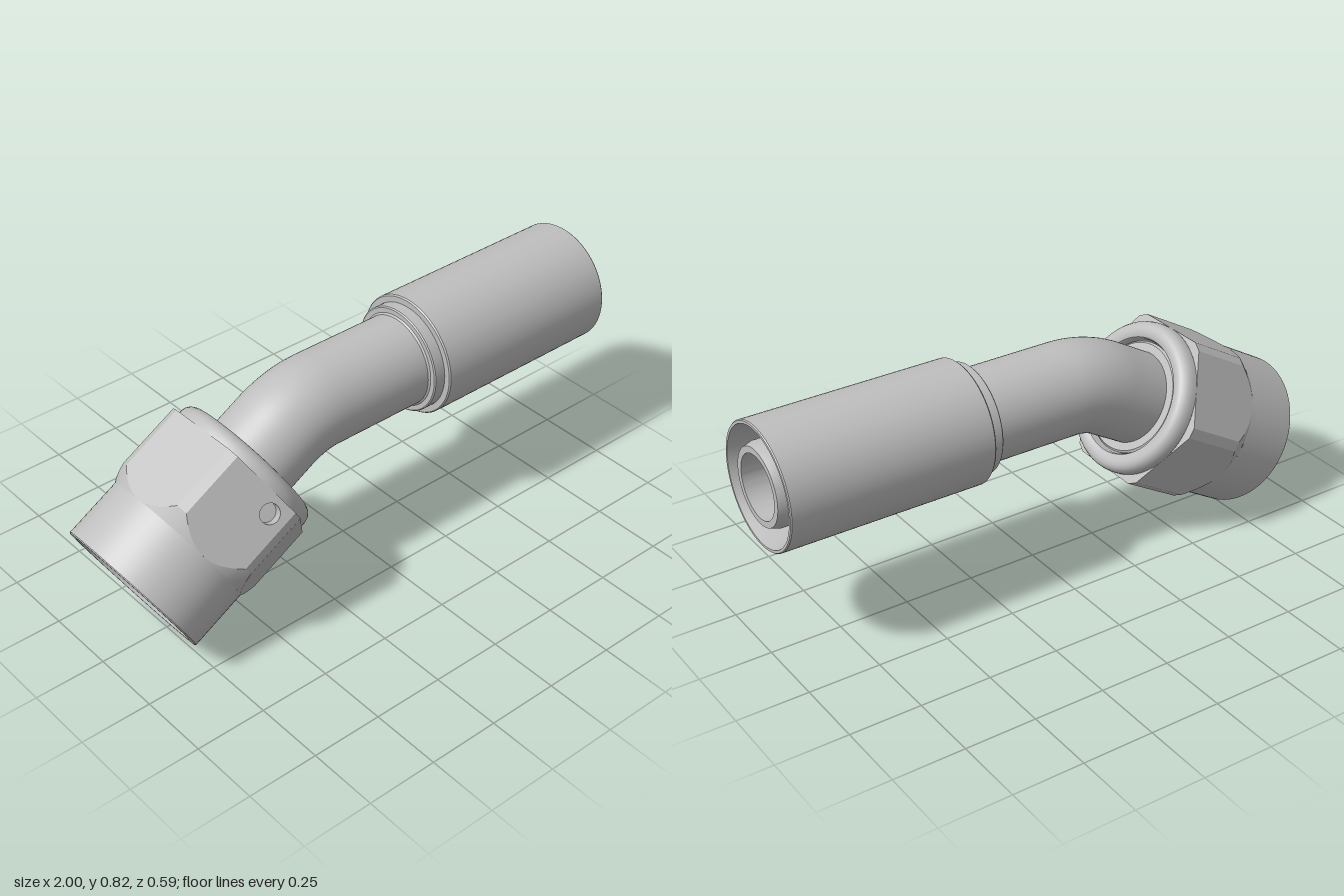
import * as THREE from 'three';
import { mergeGeometries, toCreasedNormals } from 'three/addons/utils/BufferGeometryUtils.js';

const steel = new THREE.MeshStandardMaterial({ color: 0xbfbfbf, side: THREE.DoubleSide });
steel.name = 'steel';

const AXIS_Y = 0.613;     // height of the straight tube
const APOTHEM = 0.265;    // centre to flat of the hexagon
const CORNER = 0.296;     // turned-down corner radius
const HEX_START = 0.21, HEX_END = 0.5;

function part(name, geometry) {
  const mesh = new THREE.Mesh(geometry, steel);
  mesh.name = name;
  return mesh;
}

// Turned part from [radius, height] pairs
function turned(name, profile) {
  const points = profile.map(([r, y]) => new THREE.Vector2(r, y));
  return part(name, toCreasedNormals(new THREE.LatheGeometry(points, 80), 0.5));
}

// Hexagonal skin: six flats, chamfer cone, corner strips and end ring
function hexSkin() {
  const half = Math.acos(APOTHEM / CORNER);
  const steps = 14;
  const wireHole = { s: 0.071, t: 0.443, r: 0.034, depth: 0.04 };
  const polar = (r, y, a) => new THREE.Vector3(r * Math.sin(a), y, r * Math.cos(a));
  const chamferY = (r) => HEX_START + (r - APOTHEM) * 1.9;
  const columns = [];
  for (let i = 0; i <= steps; i++) {
    const a = -half + (2 * half * i) / steps;
    columns.push({ a, r: APOTHEM / Math.cos(a) });
  }
  const pieces = [];
  const add = (g, turn) => {
    const flat = g.index ? g.toNonIndexed() : g;
    flat.deleteAttribute('uv');
    pieces.push(flat.rotateY(turn));
  };

  for (let k = 0; k < 6; k++) {
    const turn = -Math.PI / 6 + (k * Math.PI) / 3;

    // Flat, with the wire hole on one of them
    const outline = columns.map(({ a, r }) => new THREE.Vector2(r * Math.sin(a), chamferY(r)));
    const w = outline[steps].x;
    outline.push(new THREE.Vector2(w, HEX_END), new THREE.Vector2(-w, HEX_END));
    const shape = new THREE.Shape(outline);
    if (k === 0) {
      const { s, t, r, depth } = wireHole;
      shape.holes.push(new THREE.Path().absarc(s, t, r, 0, Math.PI * 2, true));
      add(new THREE.CylinderGeometry(r, r, depth, 24, 1, true).rotateX(Math.PI / 2)
        .translate(s, t, APOTHEM - depth / 2), turn);
      add(new THREE.CircleGeometry(r, 24).translate(s, t, APOTHEM - depth), turn);
    }
    add(new THREE.ShapeGeometry(shape, 12).translate(0, 0, APOTHEM), turn);

    // Chamfer, end ring and the strip leading to the next flat
    const ring = [...columns, { a: Math.PI / 3 - half, r: CORNER }];
    const verts = [];
    const quad = (a, b, c, d) => verts.push(a, b, c, a, c, d);
    for (let i = 0; i < ring.length - 1; i++) {
      const p = ring[i], q = ring[i + 1];
      const pLow = polar(p.r, chamferY(p.r), p.a), qLow = polar(q.r, chamferY(q.r), q.a);
      const pTop = polar(p.r, HEX_END, p.a), qTop = polar(q.r, HEX_END, q.a);
      quad(polar(APOTHEM, HEX_START, p.a), polar(APOTHEM, HEX_START, q.a), qLow, pLow);
      quad(pTop, qTop, polar(APOTHEM, HEX_END, q.a), polar(APOTHEM, HEX_END, p.a));
      if (i === steps) quad(pLow, qLow, qTop, pTop);
    }
    const g = new THREE.BufferGeometry().setFromPoints(verts);
    g.computeVertexNormals();
    add(g, turn);
  }
  return toCreasedNormals(mergeGeometries(pieces), 0.3);
}

export function createModel() {
  const model = new THREE.Group();
  model.name = 'angledHoseFitting';

  // Swivel nut, tilted 30 degrees
  const nut = new THREE.Group();
  nut.name = 'swivelNut';
  nut.position.set(-0.8675, 0.23, 0);
  nut.rotation.z = -Math.PI / 3;
  nut.add(
    turned('nutBody', [
      [0.265, 0.5], [0.265, 0.518], [0.261, 0.534], [0.253, 0.546], [0.242, 0.553], [0.228, 0.555],
      [0.214, 0.553], [0.204, 0.547], [0.2, 0.538], [0.2, 0.36], [0.225, 0.32],
      [0.225, 0.02], [0.238, 0], [0.262, 0], [0.265, 0.004], [0.265, HEX_START],
    ]),
    part('nutHexagon', hexSkin()),
    turned('coneSeat', [
      [0.108, 0.2], [0.135, 0.2], [0.195, 0.3], [0.195, 0.525], [0.188, 0.532], [0.158, 0.532],
    ]),
  );
  model.add(nut);

  // Bent tube, outer wall and bore
  const bend = new THREE.Vector3(-0.204, AXIS_Y, 0);
  const slope = new THREE.Vector3(-Math.cos(Math.PI / 6), -Math.sin(Math.PI / 6), 0);
  const along = (d) => bend.clone().addScaledVector(slope, d);
  const straight = (x) => new THREE.Vector3(x, AXIS_Y, 0);
  const path = new THREE.CurvePath();
  path.add(new THREE.LineCurve3(along(0.565), along(0.095)));
  path.add(new THREE.QuadraticBezierCurve3(along(0.095), bend, straight(-0.109)));
  path.add(new THREE.LineCurve3(straight(-0.109), straight(0.5)));
  model.add(part('bentTube', new THREE.TubeGeometry(path, 80, 0.16, 64)));
  model.add(part('tubeBore', new THREE.TubeGeometry(path, 80, 0.108, 48)));

  // Crimp ferrule with collar, hose gap and inner nipple
  const ferrule = turned('ferrule', [
    [0.158, 0.228], [0.166, 0.235], [0.183, 0.235], [0.187, 0.239], [0.187, 0.278], [0.208, 0.278],
    [0.212, 0.283], [0.212, 0.996], [0.209, 1], [0.2, 1], [0.177, 0.9], [0.177, 0.5],
    [0.14, 0.5], [0.14, 0.97], [0.13, 1], [0.108, 1], [0.108, 0.49],
  ]);
  ferrule.position.y = AXIS_Y;
  ferrule.rotation.z = -Math.PI / 2;
  model.add(ferrule);

  return model;
}
